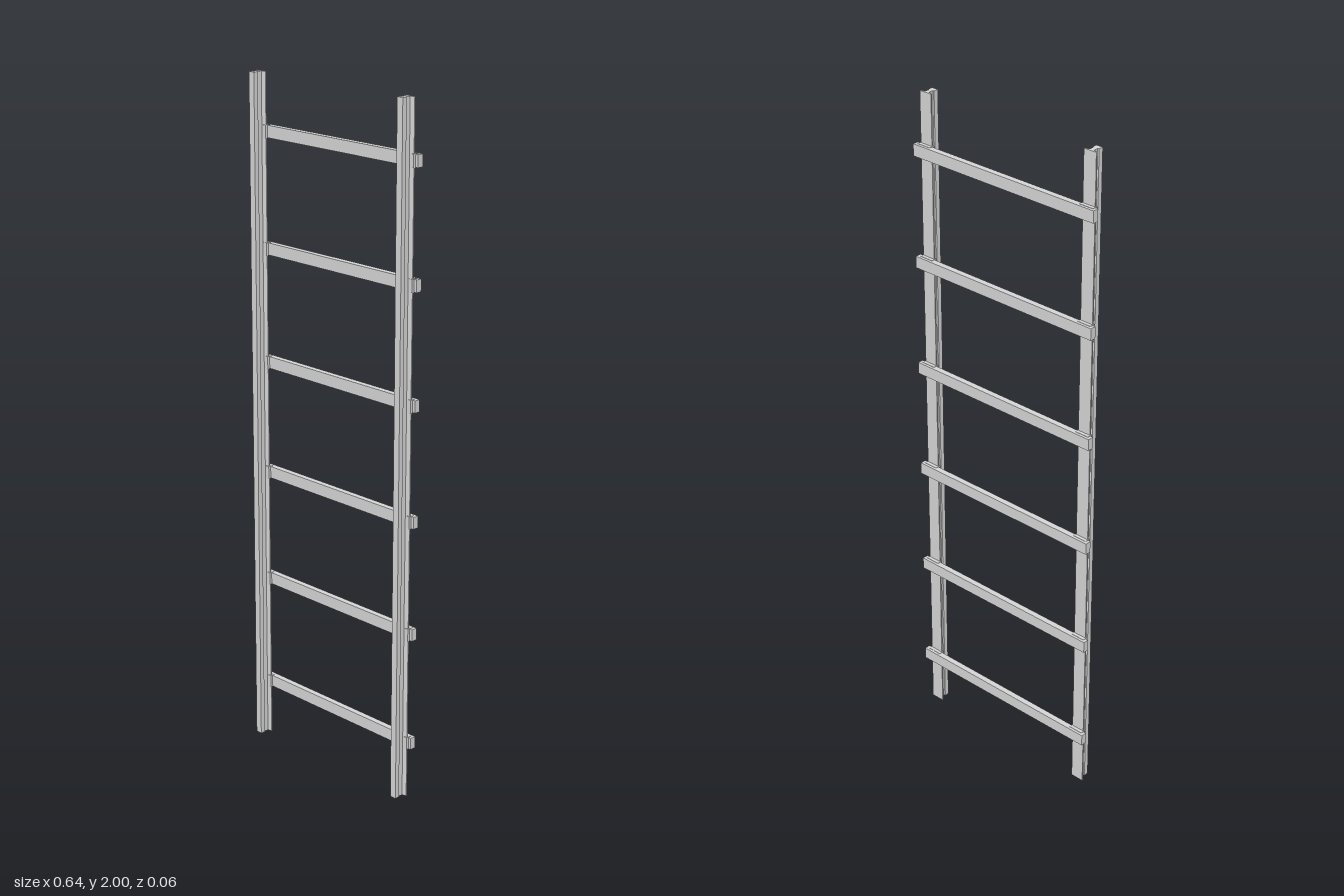
import * as THREE from 'three';

// Vertical prism from a half profile of [x, z] points, mirrored in x
function prism(half, height, material, name) {
  const all = [...half, ...half.map(([x, z]) => [-x, z]).reverse()];
  const shape = new THREE.Shape(all.map(([x, z]) => new THREE.Vector2(x, -z)));
  const geo = new THREE.ExtrudeGeometry(shape, { depth: height, bevelEnabled: false });
  geo.rotateX(-Math.PI / 2);
  const mesh = new THREE.Mesh(geo, material);
  mesh.name = name;
  return mesh;
}

export function createModel() {
  const model = new THREE.Group();
  model.name = 'railTrack';
  const steel = new THREE.MeshStandardMaterial({ color: 0xd4d4d4 });
  steel.name = 'lightGrey';

  const railX = 0.287, tieHeight = 0.035, chairHeight = 0.037, tieCount = 6;

  // Rail: flat foot, thin web, wide head
  const railProfile = [
    [0.0205, -0.009], [0.0205, -0.0054], [0.007, -0.0025], [0.0065, 0.0125],
    [0.0103, 0.0135], [0.0103, 0.0277],
  ];
  // Chair: plate with lips that grip the rail foot
  const chairProfile = [
    [0.0225, -0.0196], [0.0225, -0.002], [0.0085, -0.002], [0.0085, -0.0052],
    [0.0205, -0.0054], [0.0205, -0.009],
  ];

  for (const side of [-1, 1]) {
    const rail = prism(railProfile, 2, steel, side > 0 ? 'leftRail' : 'rightRail');
    rail.position.x = side * railX;
    model.add(rail);
  }

  // Crossties with a chair under each rail
  for (let i = 0; i < tieCount; i++) {
    const y = (i + 0.5) * 2 / tieCount;
    const tie = new THREE.Mesh(new THREE.BoxGeometry(0.637, tieHeight, 0.018), steel);
    tie.name = 'tie';
    tie.position.set(0, y, -0.0187);
    model.add(tie);
    for (const side of [-1, 1]) {
      const chair = prism(chairProfile, chairHeight, steel, 'railChair');
      chair.position.set(side * railX, y - chairHeight / 2, 0);
      model.add(chair);
    }
  }
  return model;
}
